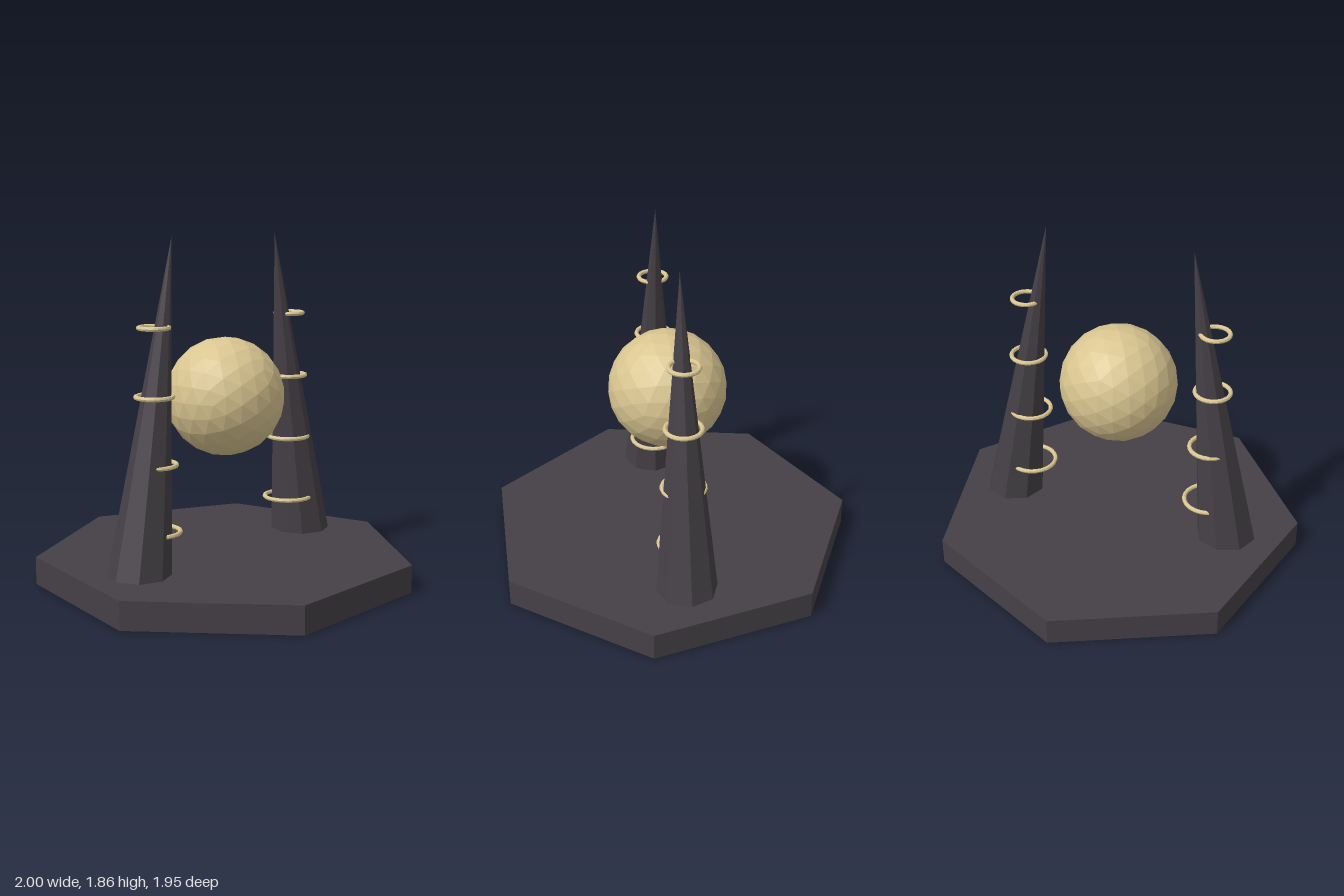
import * as THREE from 'three';

const CZ = 0.05; // everything is centred on the heptagon's own centre

export function createModel() {
  const model = new THREE.Group();
  const stone = new THREE.MeshStandardMaterial({ color: 0x454046, flatShading: true });
  stone.name = 'dark stone';
  const gold = new THREE.MeshStandardMaterial({ color: 0xd9c590, flatShading: true });
  gold.name = 'pale gold';

  const add = (parent, name, geometry, material, x, y, z) => {
    const mesh = new THREE.Mesh(geometry, material);
    mesh.name = name;
    mesh.position.set(x, y, z);
    parent.add(mesh);
    return mesh;
  };

  // Seven-sided plinth with one corner at the back
  add(model, 'base', new THREE.CylinderGeometry(1.026, 1.026, 0.15, 7, 1, false, Math.PI),
    stone, 0, 0.075, CZ);

  // Floating faceted orb
  add(model, 'orb', new THREE.IcosahedronGeometry(0.32, 3), gold, 0, 1, CZ);

  // Leaning spires, each with four level rings that shrink upwards
  const tilt = 0.1415, length = 1.76;
  const spireGeometry = new THREE.ConeGeometry(0.1674, length, 8);
  spireGeometry.translate(0, -length / 2, 0); // tip at the origin

  for (const side of [1, -1]) {
    const tower = new THREE.Group();
    tower.name = side > 0 ? 'leftTower' : 'rightTower';
    const spire = add(tower, 'spire', spireGeometry, stone, side * 0.4, 1.86, CZ);
    spire.rotation.z = side * tilt;

    for (let i = 0; i < 4; i++) {
      const ringGeometry = new THREE.TorusGeometry(0.13 - i * 0.0177, 0.012, 8, 24);
      const ring = add(tower, 'ring' + (i + 1), ringGeometry, gold, side * 0.53, 0.357 + i * 0.351, CZ);
      ring.rotation.x = Math.PI / 2;
    }
    model.add(tower);
  }
  return model;
}
